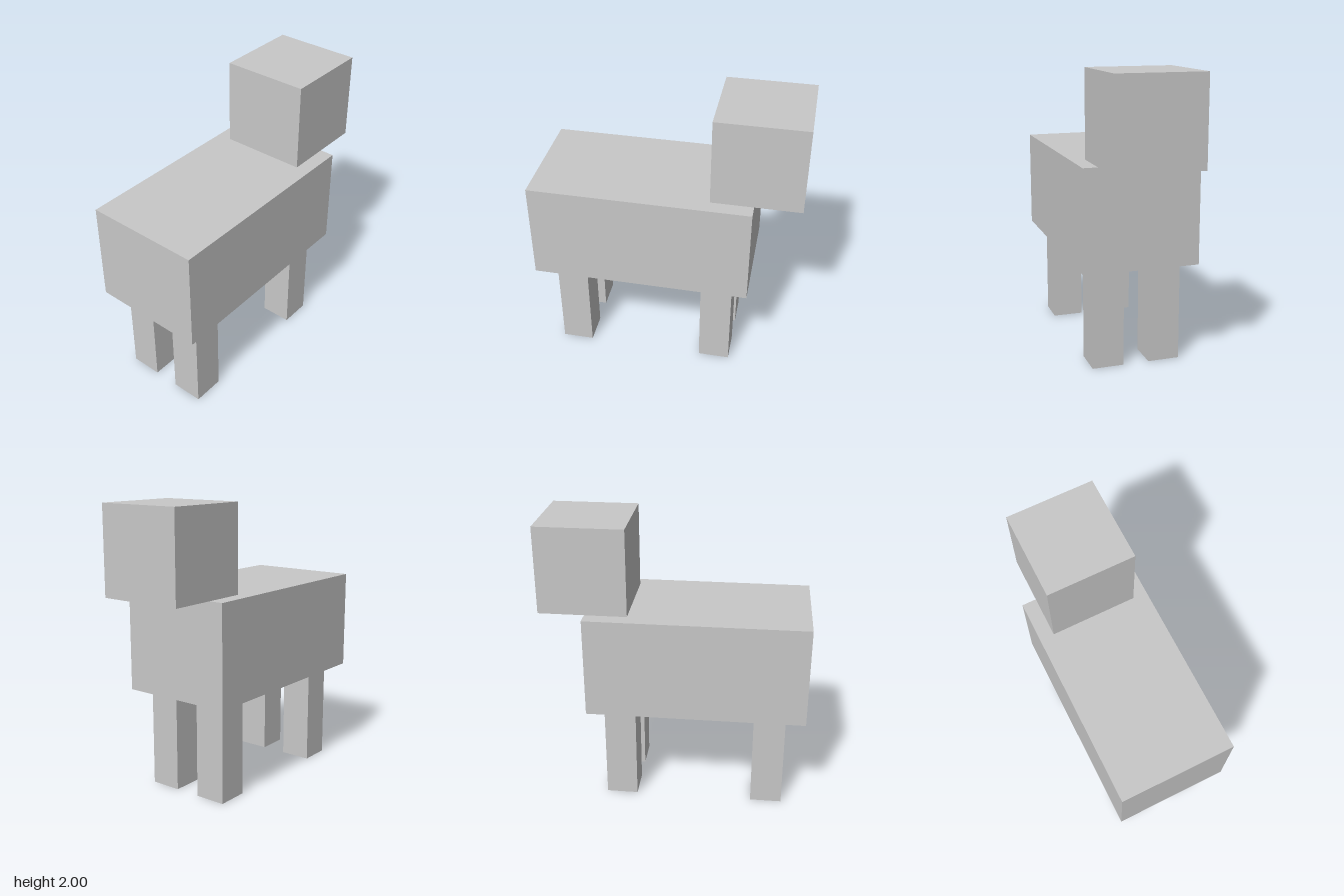
import * as THREE from 'three';

export function createModel() {
  const group = new THREE.Group();
  group.name = 'blockAnimal';
  const grey = new THREE.MeshStandardMaterial({ color: 0xc8c8c8 });
  grey.name = 'light grey';

  // Box given by its size and the centre of its underside
  const addBox = (name, [w, h, d], [x, y, z]) => {
    const mesh = new THREE.Mesh(new THREE.BoxGeometry(w, h, d), grey);
    mesh.name = name;
    mesh.position.set(x, y + h / 2, z);
    group.add(mesh);
  };

  addBox('body', [1.51, 0.7, 0.8], [-0.158, 0.7, 0]);
  addBox('head', [0.605, 0.6, 0.6], [0.61, 1.4, 0]);

  // Legs: the animal walks towards +x
  for (const [pair, x] of [['hind', -0.67], ['front', 0.375]]) {
    for (const [side, z] of [['Near', 0.2], ['Far', -0.2]]) {
      addBox(`${pair}Leg${side}`, [0.22, 0.7, 0.22], [x, 0, z]);
    }
  }
  return group;
}
